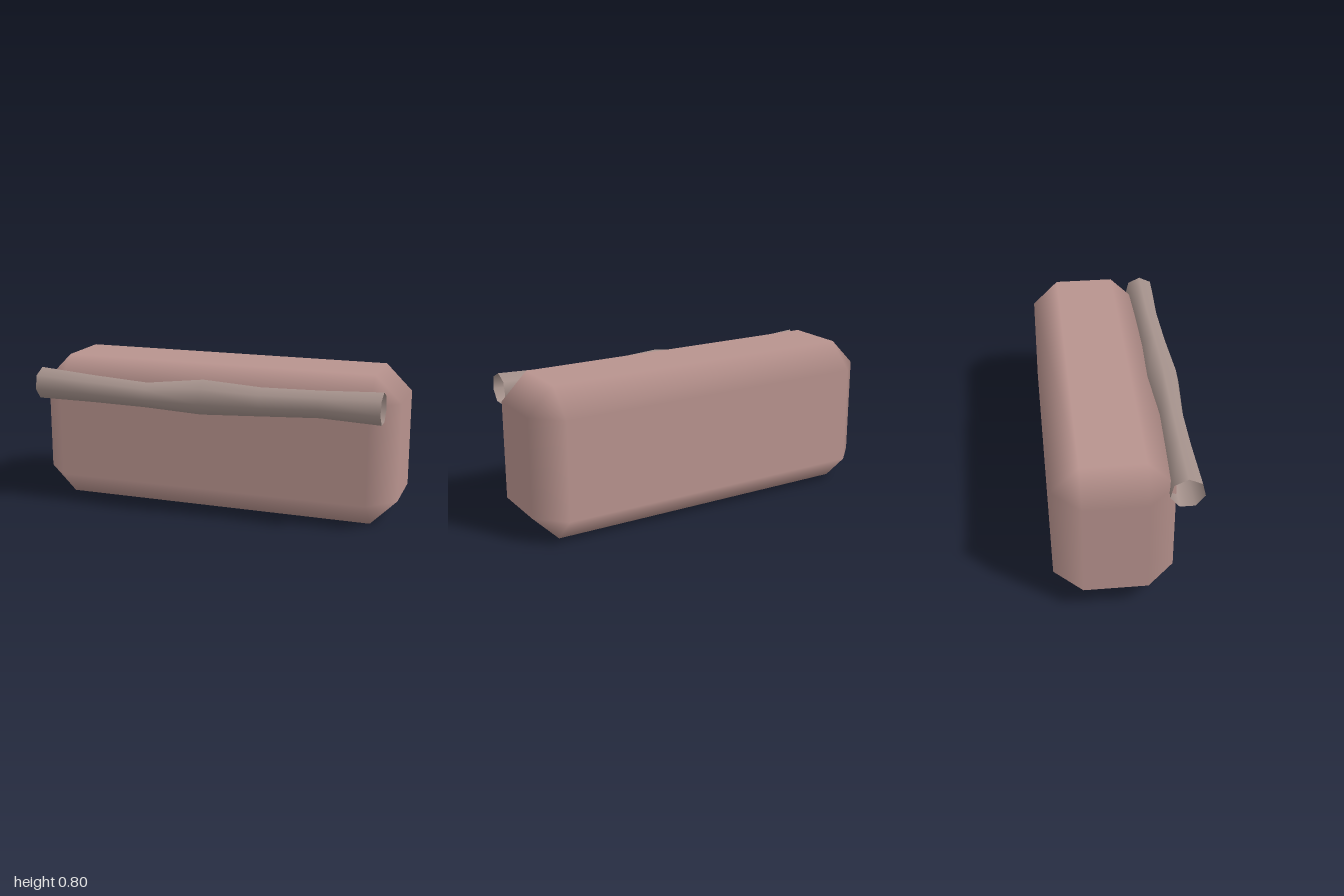
import * as THREE from 'three';
import { ConvexGeometry } from 'three/addons/geometries/ConvexGeometry.js';

// Box with a single wide bevel; normals follow the flat faces so bevels shade as round
function beveledBox(half, bevel) {
  const points = [];
  for (const sx of [-1, 1]) for (const sy of [-1, 1]) for (const sz of [-1, 1]) {
    const signs = [sx, sy, sz];
    for (let axis = 0; axis < 3; axis++) {
      const c = signs.map((s, i) => s * (half[i] - (i === axis ? 0 : bevel)));
      points.push(new THREE.Vector3(...c));
    }
  }
  const geometry = new ConvexGeometry(points);
  const pos = geometry.attributes.position;
  const normal = geometry.attributes.normal;
  for (let i = 0; i < pos.count; i++) {
    const c = [pos.getX(i), pos.getY(i), pos.getZ(i)];
    normal.setXYZ(i, ...c.map((v, k) => (Math.abs(v) > half[k] - bevel / 2 ? Math.sign(v) : 0)));
  }
  return geometry;
}

// Open seven-sided tube along x with uneven sections: [radius, centre y, centre z]
function unevenTube(length, sections) {
  const steps = sections.length - 1;
  const geometry = new THREE.CylinderGeometry(1, 1, length, 7, steps, true, -Math.PI / 2);
  geometry.rotateZ(-Math.PI / 2);
  const pos = geometry.attributes.position;
  for (let i = 0; i < pos.count; i++) {
    const [r, y, z] = sections[Math.round((pos.getX(i) / length + 0.5) * steps)];
    pos.setY(i, y + r * pos.getY(i));
    pos.setZ(i, z + r * pos.getZ(i));
  }
  return geometry;
}

export function createModel() {
  const model = new THREE.Group();

  // Main block
  const body = new THREE.Mesh(
    beveledBox([1, 0.4, 0.3], 0.14),
    new THREE.MeshStandardMaterial({ color: 0xb8938e })
  );
  body.name = 'body';
  body.position.set(0, 0.4, -0.07);
  model.add(body);

  // Hollow roll along the upper front edge
  const roll = new THREE.Mesh(
    unevenTube(1.88, [
      [0.086, 0.67, 0.272],
      [0.074, 0.659, 0.277],
      [0.067, 0.649, 0.284],
      [0.093, 0.661, 0.281],
      [0.076, 0.66, 0.28],
      [0.071, 0.67, 0.273],
      [0.084, 0.671, 0.272],
    ]),
    new THREE.MeshStandardMaterial({ color: 0xa5928c, side: THREE.DoubleSide })
  );
  roll.name = 'frontRoll';
  model.add(roll);

  return model;
}
